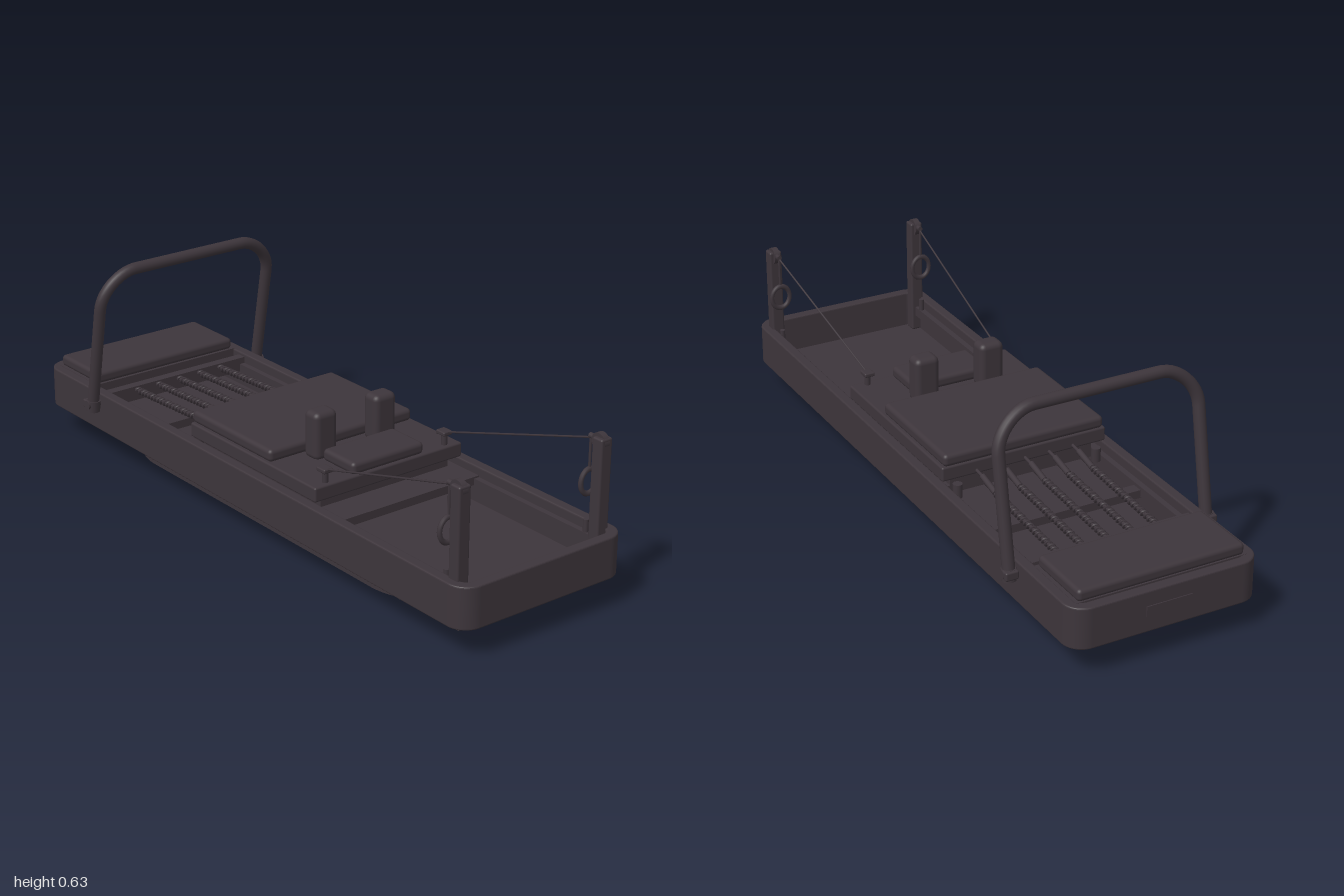
import * as THREE from 'three';
import { RoundedBoxGeometry } from 'three/addons/geometries/RoundedBoxGeometry.js';

const V = (x, y, z) => new THREE.Vector3(x, y, z);

// Rounded rectangle in plan, centred on the origin
function roundRect(T, hx, hz, r) {
  const s = new T();
  s.moveTo(-hx + r, -hz);
  s.lineTo(hx - r, -hz);
  s.absarc(hx - r, -hz + r, r, -Math.PI / 2, 0);
  s.lineTo(hx, hz - r);
  s.absarc(hx - r, hz - r, r, 0, Math.PI / 2);
  s.lineTo(-hx + r, hz);
  s.absarc(-hx + r, hz - r, r, Math.PI / 2, Math.PI);
  s.lineTo(-hx, -hz + r);
  s.absarc(-hx + r, -hz + r, r, Math.PI, Math.PI * 1.5);
  return s;
}

// Hollow rounded wall standing between y0 and y1
function ringWall(hx, hz, r, t, y0, y1, bevel) {
  const s = roundRect(THREE.Shape, hx - bevel, hz - bevel, r - bevel);
  s.holes.push(roundRect(THREE.Path, hx - t, hz - t, Math.max(r - t, 0.01)));
  const g = new THREE.ExtrudeGeometry(s, {
    depth: y1 - y0 - 2 * bevel, curveSegments: 16,
    bevelEnabled: bevel > 0, bevelSize: bevel, bevelThickness: bevel, bevelSegments: 3,
  });
  return g.rotateX(-Math.PI / 2).translate(0, y0 + bevel, 0);
}

export function createModel() {
  const group = new THREE.Group();
  const charcoal = new THREE.MeshStandardMaterial({ color: 0x3d353b });
  charcoal.name = 'charcoal';

  const add = (name, geo) => {
    const m = new THREE.Mesh(geo, charcoal);
    m.name = name;
    group.add(m);
    return m;
  };
  // Boxes are given by their extents; r rounds the edges
  const box = (name, x0, x1, y0, y1, z0, z1, r = 0) => {
    const d = [x1 - x0, y1 - y0, z1 - z0];
    const g = r ? new RoundedBoxGeometry(...d, 3, r) : new THREE.BoxGeometry(...d);
    return add(name, g.translate((x0 + x1) / 2, (y0 + y1) / 2, (z0 + z1) / 2));
  };
  const rod = (name, a, b, r, sides = 10) => {
    const m = add(name, new THREE.CylinderGeometry(r, r, a.distanceTo(b), sides));
    m.position.copy(a).lerp(b, 0.5);
    m.quaternion.setFromUnitVectors(V(0, 1, 0), b.clone().sub(a).normalize());
    return m;
  };

  // Frame and floor
  add('frame', ringWall(1, 0.29, 0.06, 0.028, 0.09, 0.215, 0.005));
  box('floor', -0.96, 0.96, 0.08, 0.105, -0.268, 0.268);
  box('endHandle', -1.003, -0.995, 0.14, 0.17, -0.07, 0.07);

  // Plinth with feet
  add('plinth', ringWall(0.73, 0.205, 0.204, 0.018, 0.013, 0.08, 0));
  for (const x of [-0.61, 0, 0.61]) {
    for (const z of [-0.157, 0.157]) {
      rod('foot', V(x, 0, z), V(x, 0.082, z), 0.017, 16);
    }
  }
  for (const s of [-1, 1]) {
    for (const z of [-0.145, 0.145]) {
      box('plinthBracket', s * 0.68 - 0.045, s * 0.68 + 0.045, 0.071, 0.081, z - 0.035, z + 0.035);
    }
  }

  // Standing platform
  box('platformBase', -0.965, -0.75, 0.19, 0.216, -0.262, 0.262);
  box('platformPad', -0.965, -0.755, 0.214, 0.25, -0.255, 0.255, 0.012);

  // Inner rails
  for (const s of [-1, 1]) {
    box('rail', -0.75, 0.96, 0.155, 0.185, s * 0.252 - 0.013, s * 0.252 + 0.013);
  }

  // Springs between the spring bar and the carriage
  box('springBar', -0.72, -0.69, 0.16, 0.205, -0.262, 0.262);
  box('crossBar', -0.475, -0.44, 0.15, 0.175, -0.262, 0.262);
  for (let i = -2; i <= 2; i++) {
    const z = i * 0.078;
    const pts = [];
    for (let k = 0; k <= 160; k++) {
      const a = (k / 160) * Math.PI * 2 * 20;
      pts.push(V(-0.68 + 0.33 * (k / 160), 0.195 + 0.015 * (k / 160) + 0.008 * Math.sin(a), z + 0.008 * Math.cos(a)));
    }
    add('spring', new THREE.TubeGeometry(new THREE.CatmullRomCurve3(pts), 240, 0.004, 5));
    rod('springCore', V(-0.69, 0.195, z), V(-0.29, 0.214, z), 0.006);
    rod('springHook', V(-0.35, 0.21, z), V(-0.275, 0.227, z), 0.009);
    rod('springLink', V(-0.29, 0.224, z), V(-0.235, 0.23, z), 0.005);
  }
  for (const z of [-0.225, 0.225]) {
    rod('stopper', V(-0.255, 0.17, z), V(-0.255, 0.212, z), 0.014, 14);
  }

  // Carriage, pads and shoulder rests
  box('deck', -0.22, 0.44, 0.165, 0.19, -0.262, 0.262);
  box('carriageUnderside', -0.22, 0.335, 0.19, 0.225, -0.23, 0.23);
  box('carriage', -0.24, 0.355, 0.218, 0.262, -0.265, 0.265, 0.006);
  box('mainPad', -0.24, 0.14, 0.26, 0.298, -0.258, 0.258, 0.013);
  box('headrest', 0.21, 0.35, 0.26, 0.297, -0.128, 0.128, 0.013);
  for (const s of [-1, 1]) {
    box('shoulderRest', 0.145, 0.207, 0.255, 0.4, s * 0.107 - 0.039, s * 0.107 + 0.039, 0.018);
    rod('ropeCleatPost', V(0.335, 0.255, s * 0.215), V(0.335, 0.3, s * 0.215), 0.009);
    box('ropeCleat', 0.315, 0.352, 0.293, 0.306, s * 0.215 - 0.016, s * 0.215 + 0.016, 0.004);
  }

  // Rope posts with pulleys, ropes and hand loops
  for (const s of [-1, 1]) {
    const z = s * 0.247;
    box('ropePost', 0.912, 0.95, 0.105, 0.478, z - 0.02, z + 0.02, 0.006);
    rod('pulley', V(0.925, 0.463, z - 0.009), V(0.925, 0.463, z + 0.009), 0.026, 20);
    rod('pulleyArm', V(0.885, 0.468, z), V(0.92, 0.468, z), 0.008);
    rod('rope', V(0.335, 0.3, s * 0.215), V(0.905, 0.468, z), 0.003, 6);
    rod('loopCord', V(0.888, 0.468, z), V(0.888, 0.375, z), 0.004, 6);
    const loop = add('handLoop', new THREE.TorusGeometry(0.03, 0.007, 8, 28));
    loop.rotation.y = Math.PI / 2;
    loop.scale.y = 1.2;
    loop.position.set(0.888, 0.335, z);
    rod('loopPeg', V(0.885, 0.18, z), V(0.885, 0.222, z), 0.008);
  }

  // Foot bar: a leaning hoop with rounded corners
  const lean = (y, z) => V(-0.7 + (y - 0.18) * 0.183, y, z);
  const hoop = new THREE.CurvePath();
  const k = 0.115, top = 0.617, w = 0.309;
  hoop.add(new THREE.LineCurve3(lean(0.165, w), lean(top - k, w)));
  hoop.add(new THREE.CubicBezierCurve3(lean(top - k, w), lean(top - k * 0.45, w), lean(top, w - k * 0.55), lean(top, w - k)));
  hoop.add(new THREE.LineCurve3(lean(top, w - k), lean(top, k - w)));
  hoop.add(new THREE.CubicBezierCurve3(lean(top, k - w), lean(top, k * 0.55 - w), lean(top - k * 0.45, -w), lean(top - k, -w)));
  hoop.add(new THREE.LineCurve3(lean(top - k, -w), lean(0.165, -w)));
  add('footBar', new THREE.TubeGeometry(hoop, 100, 0.018, 14));
  for (const s of [-1, 1]) {
    rod('footBarPivot', V(-0.7, 0.182, s * 0.28), V(-0.7, 0.182, s * 0.332), 0.014, 16);
    rod('footBarFoot', V(-0.7, 0.16, s * w), V(-0.697, 0.195, s * w), 0.021, 16);
    box('footBarLock', -0.725, -0.695, 0.17, 0.196, s * 0.311 - 0.02, s * 0.311 + 0.02, 0.005);
  }

  return group;
}
